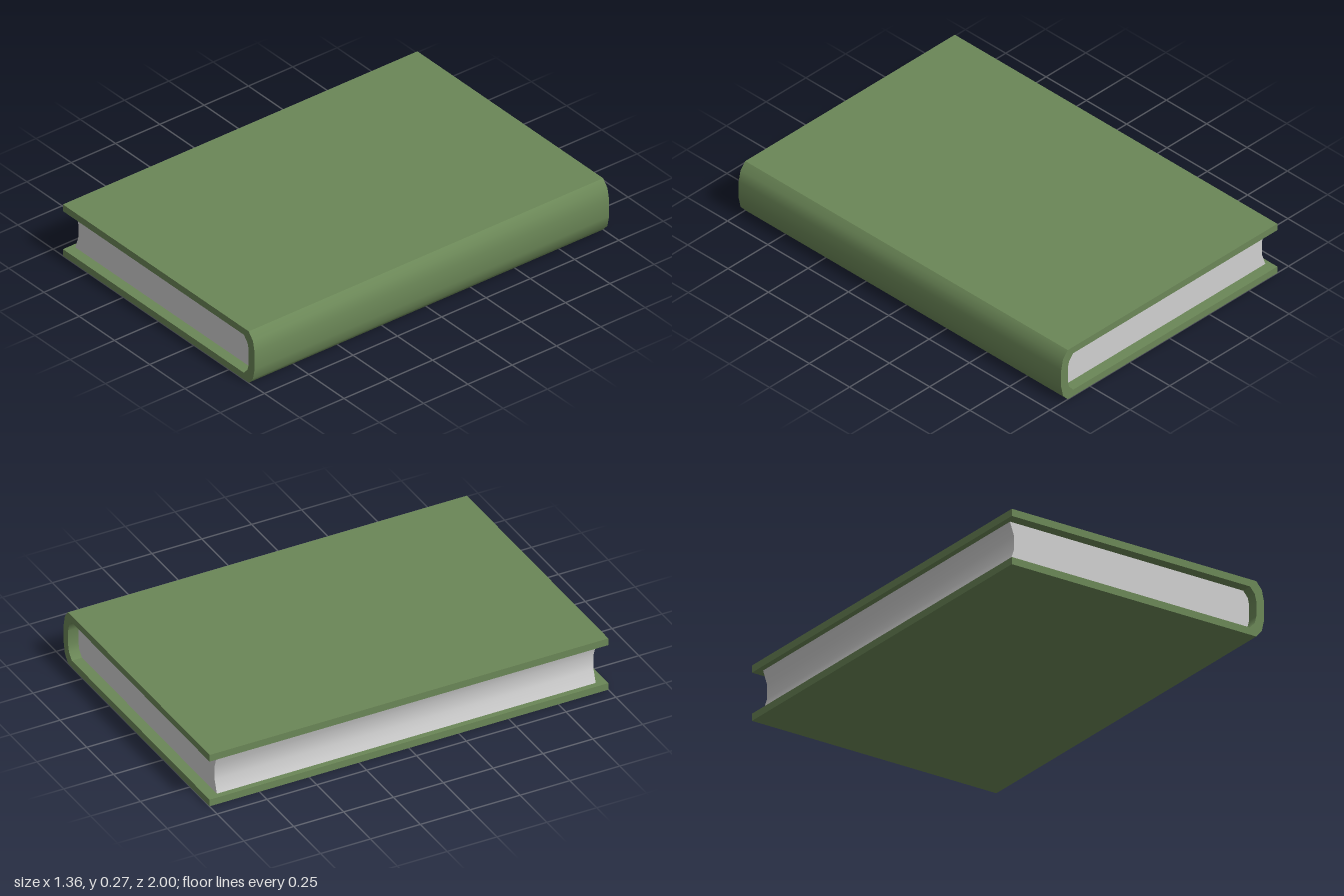
import * as THREE from 'three';
import { toCreasedNormals } from 'three/addons/utils/BufferGeometryUtils.js';

const MID = 0.135; // half the height of the book

// Mirrors the upper half of an outline (dx, height above the middle) to the lower half
const lowerHalf = (points) => points.map(([x, y]) => [x, -y]).reverse();

// Extrudes an x-y outline along z, centred, keeping curved faces smooth
function extrudeOutline(name, points, depth, material) {
  const shape = new THREE.Shape(points.map(([x, y]) => new THREE.Vector2(x, y + MID)));
  const geometry = new THREE.ExtrudeGeometry(shape, { depth, bevelEnabled: false });
  geometry.translate(0, 0, -depth / 2);
  const mesh = new THREE.Mesh(toCreasedNormals(geometry, 0.6), material);
  mesh.name = name;
  return mesh;
}

export function createModel() {
  const coverGreen = new THREE.MeshStandardMaterial({ color: 0x6b8757 });
  coverGreen.name = 'cover green';
  const paperGrey = new THREE.MeshStandardMaterial({ color: 0xd0d0d0 });
  paperGrey.name = 'paper grey';

  const book = new THREE.Group();
  book.name = 'book';

  // Cover: two boards joined by a rounded spine on +x
  const outer = [[-0.68, 0.135], [0.638, 0.135], [0.668, 0.1], [0.68, 0.045]];
  const inner = [[-0.68, 0.1], [0.604, 0.1], [0.63, 0.07], [0.638, 0.037]];
  book.add(extrudeOutline('cover',
    [...outer, ...lowerHalf(outer), ...inner.map(([x, y]) => [x, -y]), ...inner.slice().reverse()],
    2, coverGreen));

  // Pages: rounded at the spine, hollowed at the fore edge, set back from the boards
  const spineSide = [[0.603, 0.098], [0.627, 0.069], [0.635, 0.037]];
  const foreEdge = [[-0.655, 0.098], [-0.634, 0.036]];
  book.add(extrudeOutline('pages',
    [...spineSide, ...lowerHalf(spineSide), ...foreEdge.map(([x, y]) => [x, -y]), ...foreEdge.slice().reverse()],
    1.9, paperGrey));

  return book;
}
